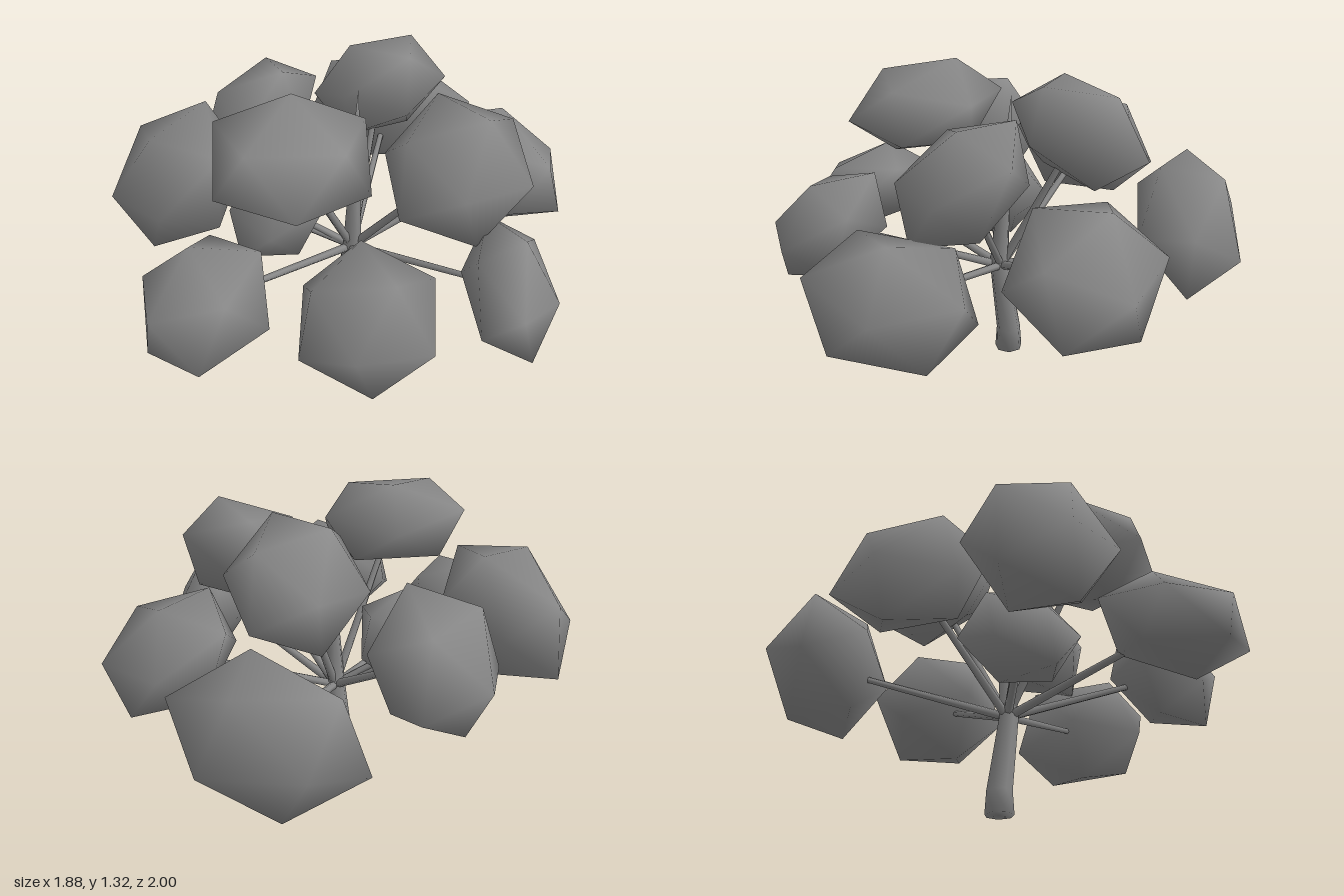
import * as THREE from 'three';
import { mergeVertices } from 'three/addons/utils/BufferGeometryUtils.js';

const gray = new THREE.MeshStandardMaterial({ color: 0x888888 });
gray.name = 'plain gray';

const V = (x, y, z) => new THREE.Vector3(x, y, z);
const fork = V(0.01, 0.44, 0.01);

// Shares vertices, so that the surface shades smoothly all round
function welded(g) {
  g.deleteAttribute('normal');
  g.deleteAttribute('uv');
  return mergeVertices(g, 1e-4);
}

function part(name, geometry) {
  const mesh = new THREE.Mesh(geometry, gray);
  mesh.name = name;
  return mesh;
}

// Trunk: tapers to a tip and leans slightly
function trunkGeometry() {
  const profile = [[0, 0], [0.062, 0], [0.055, 0.1], [0.042, 0.45], [0.03, 0.7], [0.02, 0.95], [0, 1.22]];
  const g = welded(new THREE.LatheGeometry(profile.map(([r, y]) => new THREE.Vector2(r, y)), 7));
  const p = g.attributes.position;
  for (let i = 0; i < p.count; i++) {
    const t = Math.min(1, Math.max(0, (p.getY(i) - 0.1) / 0.35));
    const up = Math.max(0, p.getY(i) - 0.45);
    p.setX(i, p.getX(i) - 0.037 + 0.048 * t + 0.015 * up);
    p.setZ(i, p.getZ(i) - 0.016 + 0.034 * t - 0.07 * up);
  }
  g.computeVertexNormals();
  return g;
}

// Branch: thin tapered rod from the fork into a clump
function branchGeometry(end) {
  const dir = end.clone().sub(fork);
  const g = new THREE.CylinderGeometry(0.012, 0.019, dir.length(), 6);
  g.applyQuaternion(new THREE.Quaternion().setFromUnitVectors(V(0, 1, 0), dir.clone().normalize()));
  const mid = fork.clone().add(end).multiplyScalar(0.5);
  return g.translate(mid.x, mid.y, mid.z);
}

// Rotation whose y axis is `axis` and whose z axis leans toward `corner`
function frame(axis, corner) {
  const n = axis.clone().normalize();
  const c = corner.clone().addScaledVector(n, -corner.dot(n)).normalize();
  return new THREE.Matrix4().makeBasis(n.clone().cross(c), n, c);
}

// Clump: icosahedron flattened across a face, turned to its axis and sized
const golden = (1 + Math.sqrt(5)) / 2;
function clumpGeometry(centre, size, axis, corner) {
  const g = welded(new THREE.IcosahedronGeometry(1, 0));
  g.applyMatrix4(frame(V(1, 1, 1), V(golden, 0, -1)).invert());
  g.scale(1, 0.7, 1).applyMatrix4(frame(axis, corner));
  g.computeBoundingBox();
  const mid = g.boundingBox.getCenter(V(0, 0, 0));
  const s = size.clone().divide(g.boundingBox.getSize(V(0, 0, 0)));
  g.translate(-mid.x, -mid.y, -mid.z).scale(s.x, s.y, s.z).translate(centre.x, centre.y, centre.z);
  g.computeVertexNormals();
  return g;
}

// Clumps: centre, overall size, facing axis, direction of one rim corner
const clumps = [
  [V(-0.04, 0.695, -0.78), V(0.8, 0.55, 0.44), V(0, 0.25, -0.97), V(-0.26, -0.97, 0)],
  [V(0.575, 0.715, -0.415), V(0.59, 0.48, 0.59), V(0.68, 0.68, -0.28), V(-0.13, 0.02, -0.3)],
  [V(0.035, 1.085, -0.32), V(0.53, 0.44, 0.58), V(-0.38, 0.76, -0.48), V(0.08, -0.11, -0.29)],
  [V(-0.525, 0.85, -0.295), V(0.49, 0.55, 0.63), V(-0.75, 0.6, -0.2), V(-0.13, 0, -0.28)],
  [V(-0.68, 0.835, 0.235), V(0.52, 0.59, 0.59), V(-0.8, 0.52, 0.26), V(0.12, 0.29, -0.19)],
  [V(-0.295, 0.66, 0.105), V(0.48, 0.44, 0.49), V(-0.5, 0.75, 0.2), V(0.15, 0.1, -0.17)],
  [V(-0.12, 1.12, 0.365), V(0.64, 0.4, 0.62), V(0.18, 0.94, 0.28), V(0.13, -0.05, 0.31)],
  [V(-0.37, 0.63, 0.715), V(0.56, 0.4, 0.57), V(-0.1, 0.84, 0.5), V(0.09, -0.04, 0.28)],
  [V(0.74, 0.62, 0.28), V(0.4, 0.48, 0.61), V(0.73, 0.53, -0.43), V(0.1, 0.11, 0.28)],
  [V(0.27, 0.695, 0.685), V(0.56, 0.43, 0.47), V(-0.09, 0.73, 0.68), V(0.28, 0, 0.11)],
  [V(0.46, 0.99, 0.07), V(0.61, 0.48, 0.48), V(0.02, 0.76, 0.65), V(-0.15, 0, 0.29)],
];

export function createModel() {
  const tree = new THREE.Group();
  tree.name = 'tree';
  tree.add(part('trunk', trunkGeometry()));
  clumps.forEach(([centre, size, axis, corner], i) => {
    tree.add(part(`branch${i + 1}`, branchGeometry(centre)));
    tree.add(part(`leafClump${i + 1}`, clumpGeometry(centre, size, axis, corner)));
  });
  return tree;
}
